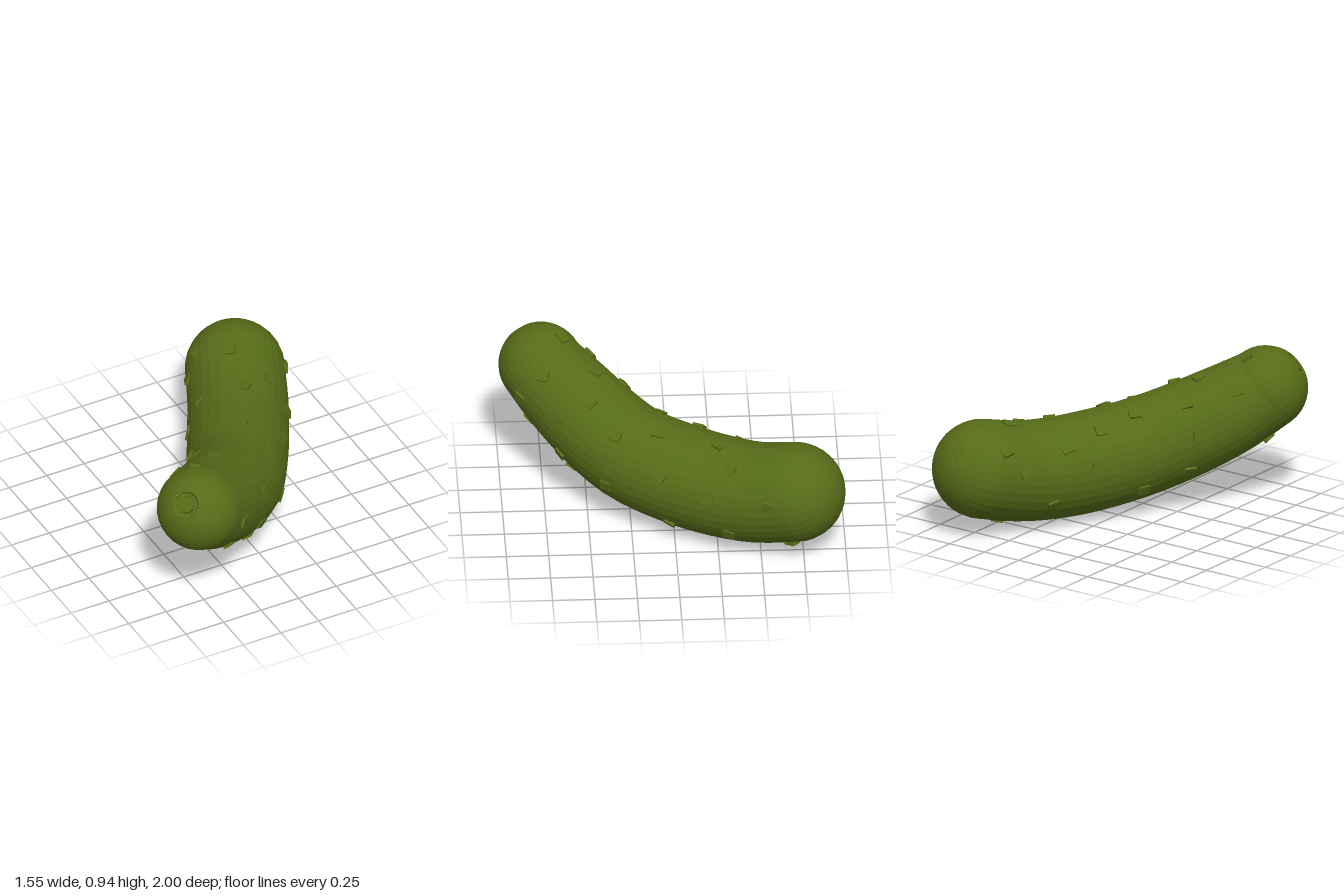
import * as THREE from 'three';

const SIDES = 32;
const UP = new THREE.Vector3(0, 1, 0);

// Centre line from the thick back end to the thin front end: x, y, z, radius
const SPINE = [
  [0.48, 0.387, -0.705, 0.295], [0.38, 0.33, -0.48, 0.298], [0.27, 0.313, -0.27, 0.3],
  [0.15, 0.323, -0.05, 0.3], [-0.01, 0.367, 0.215, 0.293], [-0.19, 0.455, 0.42, 0.285],
  [-0.375, 0.57, 0.6, 0.272], [-0.53, 0.687, 0.75, 0.25],
];
const TIP = new THREE.Vector3(-0.62, 0.63, 0.47).normalize();
const SCAR = 0.08; // radius of the stem scar

function skinGeometry() {
  const curve = new THREE.CatmullRomCurve3(SPINE.map(p => new THREE.Vector3(p[0], p[1], p[2])));
  const radii = new THREE.CatmullRomCurve3(SPINE.map((p, i) => new THREE.Vector3(i, p[3], 0)));
  const rings = [];
  const add = (c, t, r, shift = 0) => rings.push({ c: c.clone().addScaledVector(t, shift), t, r });

  // rounded back end
  const back = curve.getPoint(0), backT = curve.getTangent(0), R = SPINE[0][3];
  for (let i = 0; i < 9; i++) {
    const a = (i / 9) * Math.PI / 2;
    add(back, backT, R * Math.sin(a), -R * Math.cos(a));
  }
  // bent body
  const steps = 22;
  for (let i = 0; i <= steps; i++) {
    const t = i / steps;
    const dir = curve.getTangent(t).lerp(TIP, Math.max(0, (t - 0.8) / 0.2)).normalize();
    add(curve.getPoint(t), dir, radii.getPoint(t).y);
  }
  // rounded front end, open at the stem scar
  const front = curve.getPoint(1), r = SPINE[SPINE.length - 1][3];
  const last = Math.acos(SCAR / r);
  for (let i = 1; i <= 8; i++) {
    const a = last * i / 8;
    add(front, TIP, r * Math.cos(a), r * Math.sin(a));
  }

  const pos = [], index = [];
  rings.forEach(({ c, t, r }, i) => {
    const side = t.clone().cross(UP).normalize(), up = side.clone().cross(t);
    for (let j = 0; j < SIDES; j++) {
      const a = j / SIDES * Math.PI * 2;
      const p = c.clone().addScaledVector(side, r * Math.cos(a)).addScaledVector(up, r * Math.sin(a));
      pos.push(p.x, p.y, p.z);
      if (i === rings.length - 1) continue;
      const k = (j + 1) % SIDES, A = i * SIDES, B = A + SIDES;
      if (i > 0) index.push(A + j, B + j, A + k);
      index.push(A + k, B + j, B + k);
    }
  });
  const g = new THREE.BufferGeometry();
  g.setAttribute('position', new THREE.Float32BufferAttribute(pos, 3));
  g.setIndex(index);
  g.computeVertexNormals();
  return g;
}

// Wart positions as pairs on a plane facing a given azimuth and elevation (degrees)
const WARTS = [
  { az: 0, el: 90, at: [[.38, .57], [.5, .32], [.31, .26], [.08, .4], [.01, .16], [-.07, -.07], [.17, -.09],
    [-.3, -.27], [.14, -.34], [-.27, -.44], [-.48, -.63], [-.25, -.75], [-.06, -.48], [-.53, -.46],
    [.25, .77], [.71, .47], [.38, -.09]] },
  { az: 0, el: 0, at: [[-.6, .41], [-.37, .41], [-.3, .6], [-.05, .57], [-.07, .35], [-.12, .23], [.2, .29],
    [.36, .12], [.4, .32], [.37, .46], [.5, .59], [.55, .39], [.72, .43], [.58, .17]] },
  { az: 90, el: 0, at: [[-.67, .35], [-.9, .6], [-.03, .11], [.23, .17], [.46, .44], [.14, .4], [.68, .11]] },
  { az: 210, el: 20, at: [[-.1, .49], [-.09, .27], [-.29, .39], [-.49, .22], [-.63, .37], [-.34, .04],
    [.16, .15], [.22, .45], [.39, .65], [.42, .27], [.48, .48], [.68, .73], [.72, .94], [.81, .44]] },
  { az: 0, el: -90, at: [[.3, -.27], [.1, .02], [.45, -.6], [-.12, .36]] },
];

export function createModel() {
  const group = new THREE.Group();
  group.name = 'pickle';
  const mat = new THREE.MeshStandardMaterial({ color: 0x566b18, flatShading: true });

  const skin = new THREE.Mesh(skinGeometry(), mat);
  skin.name = 'skin';
  group.add(skin);

  // sunken scar with a raised stub where the stem was
  const profile = [[SCAR, 0], [0.066, -0.016], [0.052, -0.016], [0.047, 0.004], [0, 0.006]];
  const scar = new THREE.Mesh(
    new THREE.LatheGeometry(profile.map(p => new THREE.Vector2(...p)), 20), mat);
  scar.name = 'stemScar';
  const end = SPINE[SPINE.length - 1];
  scar.position.set(end[0], end[1], end[2])
    .addScaledVector(TIP, Math.sqrt(end[3] ** 2 - SCAR ** 2));
  scar.quaternion.setFromUnitVectors(UP, TIP);
  group.add(scar);

  // square warts set into the skin, lined up with its length and tilted a little
  const warts = new THREE.Group();
  warts.name = 'warts';
  const box = new THREE.BoxGeometry(0.06, 0.04, 0.07);
  const axis = new THREE.Vector3(-0.55, 0.16, 0.82);
  const ray = new THREE.Raycaster();
  const rad = THREE.MathUtils.degToRad;
  for (const { az, el, at } of WARTS) {
    const turn = new THREE.Euler(-rad(el), rad(az), 0, 'YXZ');
    const inward = new THREE.Vector3(0, 0, -1).applyEuler(turn);
    for (const [u, v] of at) {
      ray.set(new THREE.Vector3(u, v, 4).applyEuler(turn), inward);
      const hit = ray.intersectObject(skin)[0];
      if (!hit || warts.children.some(w => w.position.distanceTo(hit.point) < 0.14)) continue;
      const n = warts.children.length, normal = hit.face.normal;
      const side = normal.clone().cross(axis).normalize();
      const wart = new THREE.Mesh(box, mat);
      wart.name = 'wart';
      wart.position.copy(hit.point).addScaledVector(normal, -0.008);
      wart.quaternion.setFromRotationMatrix(
        new THREE.Matrix4().makeBasis(side, normal, side.clone().cross(normal)));
      wart.rotateY(0.25 * Math.sin(n * 2.4));
      wart.rotateX(0.15 * Math.sin(n * 1.7));
      wart.rotateZ(0.15 * Math.cos(n * 2.9));
      warts.add(wart);
    }
  }
  group.add(warts);
  return group;
}
